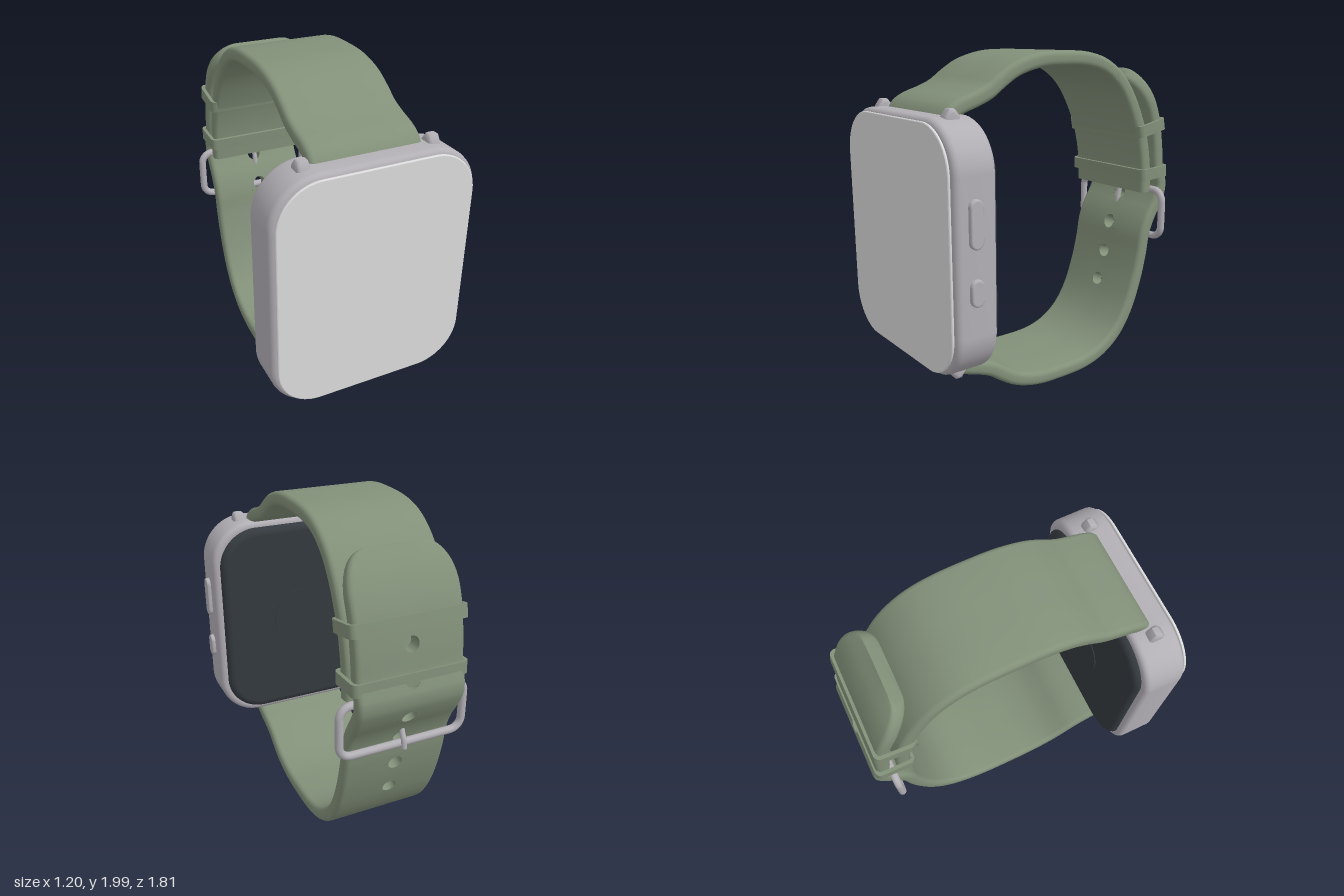
import * as THREE from 'three';
import { toCreasedNormals } from 'three/addons/utils/BufferGeometryUtils.js';

const material = (name, color) => {
  const m = new THREE.MeshStandardMaterial({ color });
  m.name = name;
  return m;
};

function add(parent, name, geometry, mat, x = 0, y = 0, z = 0) {
  const mesh = new THREE.Mesh(geometry, mat);
  mesh.name = name;
  mesh.position.set(x, y, z);
  parent.add(mesh);
  return mesh;
}

// Rounded rectangle centred on the origin
function roundRect(w, h, r, Type = THREE.Shape) {
  const s = new Type(), a = w / 2 - r, b = h / 2 - r;
  s.absarc(a, b, r, 0, Math.PI / 2);
  s.absarc(-a, b, r, Math.PI / 2, Math.PI);
  s.absarc(-a, -b, r, Math.PI, Math.PI * 1.5);
  s.absarc(a, -b, r, Math.PI * 1.5, Math.PI * 2);
  s.closePath();
  return s;
}

// Rounded slab from z0 to z1 with softened edges and flat-shaded end faces
function slab(w, h, r, z0, z1, bevel, segments = 4) {
  const extruded = new THREE.ExtrudeGeometry(roundRect(w - 2 * bevel, h - 2 * bevel, r - bevel), {
    depth: z1 - z0 - 2 * bevel, bevelSize: bevel, bevelThickness: bevel,
    bevelSegments: segments, curveSegments: 14,
  });
  const g = toCreasedNormals(extruded.translate(0, 0, z0 + bevel), 0.6);
  const p = g.attributes.position, n = g.attributes.normal;
  for (let i = 0; i < p.count; i += 3) {
    const z = p.getZ(i);
    if (Math.abs(z - p.getZ(i + 1)) + Math.abs(z - p.getZ(i + 2)) > 1e-6) continue;
    for (let k = 0; k < 3; k++) n.setXYZ(i + k, 0, 0, z > (z0 + z1) / 2 ? 1 : -1);
  }
  return g;
}

// Strap: rounded section swept along [z, y] points, with real punched holes
const HALF = 0.3175, THICK = 0.0425, EDGE = 0.03, CELL = 0.06, HOLE = 0.043;
function strap(points, holesFromEnd = [], taper = 0) {
  const curve = new THREE.CatmullRomCurve3(points.map(([z, y]) => new THREE.Vector3(0, y, z)));
  curve.arcLengthDivisions = 600;
  const L = curve.getLength(), pos = [], tipLength = 0.25;
  const holes = holesFromEnd.map(d => L - d);
  const at = (x, s, n) => {
    const u = Math.min(1, Math.max(0, s / L)), p = curve.getPointAt(u), t = curve.getTangentAt(u);
    return [x, p.y + n * t.z, p.z - n * t.y];
  };
  const tri = (a, b, c) => pos.push(...a, ...b, ...c);
  const quad = (a, b, c, d) => { tri(a, b, c); tri(a, c, d); };

  // Rows along the strap, closer together at the tapered tip
  let rows = [...holes.flatMap(h => [h - CELL, h + CELL])];
  for (let i = 0; i <= 90; i++) rows.push(L * i / 90);
  if (taper) for (let i = 1; i < 12; i++) rows.push(L - tipLength * (1 - Math.sin(i / 12 * Math.PI / 2)));
  rows = rows.sort((a, b) => a - b).filter((s, i, all) => i === 0 || s - all[i - 1] > 1e-5);

  const loops = rows.map(s => {
    const t = Math.max(0, (s - L + tipLength) / tipLength);
    const w = HALF - taper * (1 - Math.sqrt(Math.max(0, 1 - t * t)));
    const pts = [];
    for (let q = 0; q < 4; q++) {
      const sx = q === 0 || q === 3 ? 1 : -1, sn = q < 2 ? 1 : -1;
      for (let k = 0; k <= 4; k++) {
        const a = (q + k / 4) * Math.PI / 2;
        pts.push(at(sx * (w - EDGE) + EDGE * Math.cos(a), s, sn * (THICK - EDGE) + EDGE * Math.sin(a)));
      }
      if (q === 0) pts.push(at(CELL, s, THICK), at(-CELL, s, THICK));
      if (q === 2) pts.push(at(-CELL, s, -THICK), at(CELL, s, -THICK));
    }
    return pts;
  });
  const n = loops[0].length;
  for (let i = 0; i < rows.length - 1; i++) {
    const mid = (rows[i] + rows[i + 1]) / 2;
    const punched = holes.some(h => Math.abs(mid - h) < CELL);
    for (let j = 0; j < n; j++) {
      if (punched && (j === 5 || j === 17)) continue;
      const k = (j + 1) % n;
      quad(loops[i][j], loops[i][k], loops[i + 1][k], loops[i + 1][j]);
    }
  }
  // Square collar and wall of each hole
  for (const h of holes) for (let k = 0; k < 24; k++) {
    const [p, q] = [k, k + 1].map(i => {
      const c = Math.cos(i * Math.PI / 12), s = Math.sin(i * Math.PI / 12);
      const m = CELL / Math.max(Math.abs(c), Math.abs(s));
      return (side, outer) => at(c * (outer ? m : HOLE), h + s * (outer ? m : HOLE), side * THICK);
    });
    quad(p(1, 0), q(1, 0), q(1, 1), p(1, 1));
    quad(p(-1, 1), q(-1, 1), q(-1, 0), p(-1, 0));
    quad(p(-1, 0), q(-1, 0), q(1, 0), p(1, 0));
  }
  // End caps
  const first = loops[0], last = loops[loops.length - 1];
  for (let j = 1; j < n - 1; j++) {
    tri(first[0], first[j + 1], first[j]);
    tri(last[0], last[j], last[j + 1]);
  }
  const g = new THREE.BufferGeometry();
  g.setAttribute('position', new THREE.Float32BufferAttribute(pos, 3));
  return toCreasedNormals(g, 0.7);
}

export function createModel() {
  const model = new THREE.Group();
  model.name = 'watch';
  const metal = material('brushed metal', 0xb2afb5);
  const glass = material('screen grey', 0xdcdcdc);
  const dark = material('dark back', 0x343a3f);
  const rubber = material('green strap', 0x829079);
  const body = new THREE.Group();
  body.name = 'body';
  body.position.x = -0.0125;
  model.add(body);

  // Case, screen and back
  const midY = 1.005;
  add(body, 'case', slab(1.175, 1.37, 0.27, 0.635, 0.885, 0.035), metal, 0, midY);
  add(body, 'screenSeat', slab(1.08, 1.29, 0.23, 0.86, 0.896, 0.005, 1), metal, 0, midY);
  add(body, 'screen', slab(1.12, 1.33, 0.25, 0.889, 0.905, 0.007, 3), glass, 0, midY);
  add(body, 'back', slab(1.09, 1.295, 0.25, 0.595, 0.72, 0.045), dark, 0, midY);
  const sensor = new THREE.CylinderGeometry(0.2, 0.2, 0.006, 48).rotateX(Math.PI / 2);
  add(body, 'sensor', sensor, dark, 0, midY, 0.593);

  // Side buttons
  for (const [name, y, h] of [['longButton', 1.183, 0.255], ['shortButton', 0.828, 0.145]])
    add(body, name, slab(0.078, h, 0.039, 0.57, 0.6125, 0.01, 3).rotateY(Math.PI / 2), metal, 0, y, 0.772);

  // Lugs above and below the case
  const lugShape = new THREE.Shape([[0.79, -0.03], [0.79, 0.0], [0.772, 0.025], [0.76, 0.025], [0.74, 0.0], [0.74, -0.03]]
    .map(p => new THREE.Vector2(...p)));
  const lug = toCreasedNormals(new THREE.ExtrudeGeometry(lugShape,
    { depth: 0.032, bevelSize: 0.02, bevelThickness: 0.02, bevelSegments: 4 })
    .translate(0, 0, -0.016).rotateY(-Math.PI / 2), 0.8);
  for (const x of [-0.365, 0.365]) {
    add(body, 'upperLug', lug, metal, x, 1.685);
    add(body, 'lowerLug', lug, metal, x, 0.325).rotation.z = Math.PI;
  }

  // Upper strap, from its free end up and over to the case
  const arch = [[0, 1.957], [0.15, 1.948], [0.3, 1.907], [0.4, 1.85], [0.48, 1.795], [0.57, 1.757],
    [0.66, 1.727], [0.715, 1.695], [0.74, 1.655]];
  add(body, 'upperStrap', strap([
    [-0.715, 1.105], [-0.708, 1.25], [-0.69, 1.37], [-0.655, 1.5], [-0.567, 1.69],
    [-0.475, 1.815], [-0.355, 1.903], [-0.215, 1.946], ...arch,
  ]), rubber);

  // Lower strap, under the wrist, through the buckle and up to the tip
  add(body, 'lowerStrap', strap([
    ...arch.map(([z, y]) => [z, 2.007 - y]).reverse(),
    [-0.22, 0.06], [-0.365, 0.105], [-0.49, 0.195], [-0.585, 0.33], [-0.66, 0.52], [-0.703, 0.69],
    [-0.725, 0.82], [-0.765, 0.92], [-0.83, 1.03], [-0.863, 1.12], [-0.83, 1.25], [-0.812, 1.4],
    [-0.775, 1.58], [-0.7, 1.74], [-0.611, 1.857],
  ], [0, 1, 2, 3, 4, 5].map(i => 0.495 + 0.203 * i), 0.14), rubber);

  // Keeper loops around both layers
  const ring = roundRect(0.68, 0.235, 0.035);
  ring.holes.push(roundRect(0.638, 0.193, 0.015, THREE.Path));
  const keeper = toCreasedNormals(new THREE.ExtrudeGeometry(ring, { depth: 0.072, bevelEnabled: false, curveSegments: 6 })
    .translate(0, 0, -0.036).rotateX(-Math.PI / 2), 0.6);
  add(body, 'upperKeeper', keeper, rubber, 0, 1.516, -0.73).rotation.x = 0.2;
  add(body, 'lowerKeeper', keeper, rubber, 0, 1.225, -0.765).rotation.x = 0.06;

  // Buckle frame and prong
  const frame = roundRect(0.75, 0.305, 0.07).getPoints(8);
  if (frame[0].distanceTo(frame[frame.length - 1]) < 1e-6) frame.pop();
  const framePath = new THREE.CatmullRomCurve3(frame.map(p => new THREE.Vector3(p.x, p.y, 0)), true);
  add(body, 'buckleFrame', new THREE.TubeGeometry(framePath, 160, 0.023, 12, true), metal, 0, 0.955, -0.793);
  const prongPath = new THREE.CatmullRomCurve3([[1.1, -0.79], [0.98, -0.765], [0.88, -0.79], [0.83, -0.815], [0.785, -0.822]]
    .map(([y, z]) => new THREE.Vector3(0, y, z)));
  add(body, 'prong', new THREE.TubeGeometry(prongPath, 24, 0.016, 10), metal);
  add(body, 'prongTip', new THREE.SphereGeometry(0.016, 12, 8), metal, 0, 0.785, -0.822);
  return model;
}
